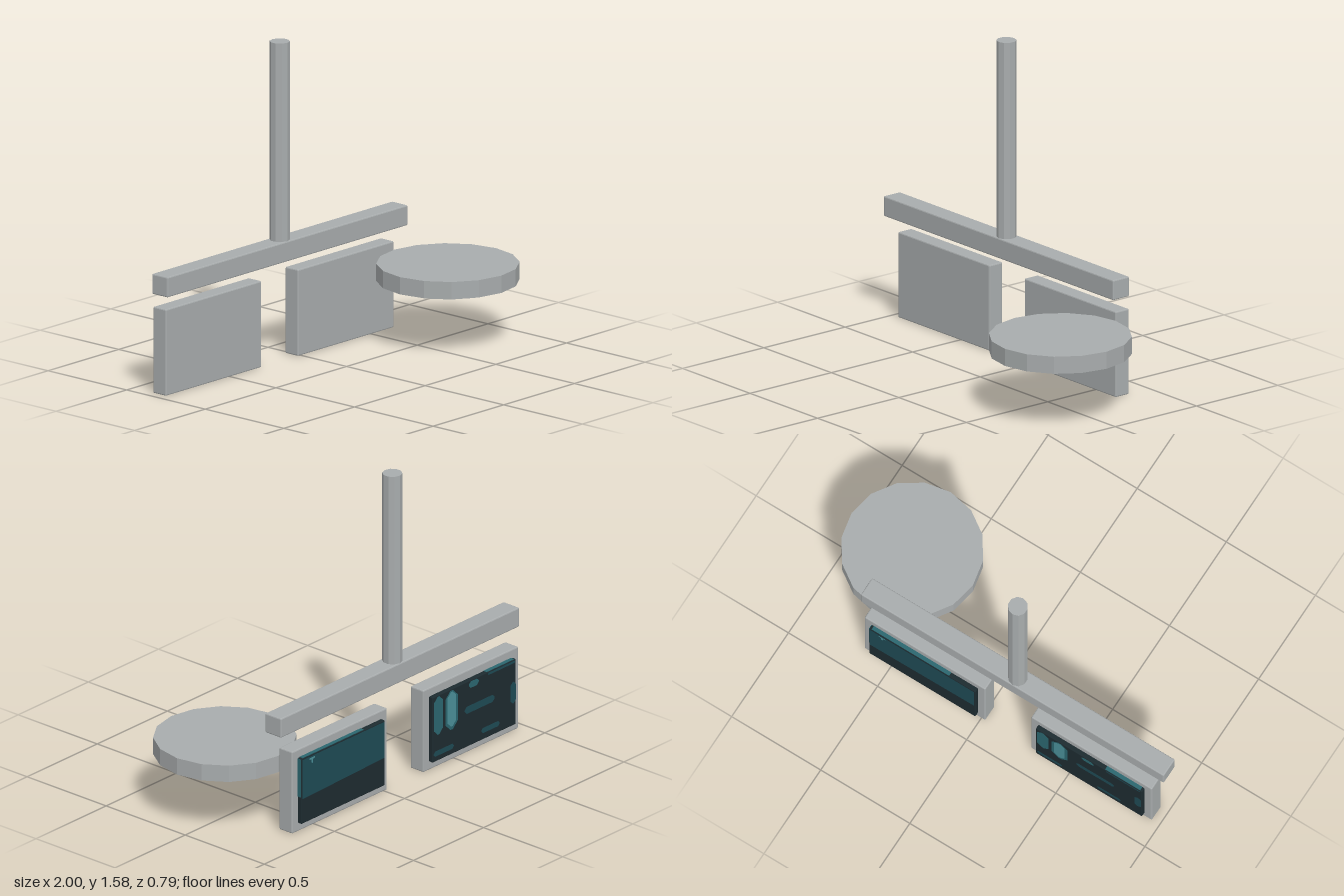
import * as THREE from 'three';
import { RoundedBoxGeometry } from 'three/addons/geometries/RoundedBoxGeometry.js';

const mat = (name, color, extra = {}) => {
  const m = new THREE.MeshStandardMaterial({ color, ...extra });
  m.name = name;
  return m;
};

export function createModel() {
  const grey = mat('grey metal', 0xa8acad, { flatShading: true });
  const dark = mat('dark glass', 0x1d2b30);
  const teal = mat('deep teal', 0x1e4a54);
  const mid = mat('mid teal', 0x2b6770);
  const bright = mat('bright teal', 0x4a8f98);

  const model = new THREE.Group();
  model.name = 'hangingMonitorArm';

  const add = (parent, name, geo, material, x = 0, y = 0, z = 0) => {
    const mesh = new THREE.Mesh(geo, material);
    mesh.name = name;
    mesh.position.set(x, y, z);
    parent.add(mesh);
    return mesh;
  };

  // Ceiling pole and cross beam
  add(model, 'pole', new THREE.CylinderGeometry(0.048, 0.048, 0.98, 10), grey, -0.152, 1.09, -0.288);
  add(model, 'beam', new RoundedBoxGeometry(1.7, 0.1, 0.1, 1, 0.006), grey, -0.152, 0.555, -0.288);

  // Round lamp head with a smaller lens disc below
  add(model, 'lampHead', new THREE.CylinderGeometry(0.34, 0.34, 0.085, 16), grey, 0.658, 0.3425, 0.053);
  add(model, 'lampLens', new THREE.CylinderGeometry(0.272, 0.272, 0.03, 16), grey, 0.658, 0.295, 0.053);

  const W = 0.596, H = 0.34, D = 0.026;

  // Screen coordinates: u runs left to right, v top to bottom, both 0 to 1
  const px = (u) => (u - 0.5) * W;
  const py = (v) => (0.5 - v) * H;

  const panel = (screen, name, points, material, layer = 1) => {
    const shape = new THREE.Shape(points.map(([u, v]) => new THREE.Vector2(px(u), py(v))));
    add(screen, name, new THREE.ShapeGeometry(shape), material, 0, 0, D / 2 + 0.0012 * layer);
  };

  // Bar with clipped corners
  const bar = (screen, name, u0, v0, u1, v1, material, layer = 1) => {
    const cv = Math.min((v1 - v0) * 0.4, (u1 - u0) * 0.4 * W / H), cu = cv * H / W;
    panel(screen, name, [
      [u0, v1 - cv], [u0 + cu, v1], [u1 - cu, v1], [u1, v1 - cv],
      [u1, v0 + cv], [u1 - cu, v0], [u0 + cu, v0], [u0, v0 + cv],
    ], material, layer);
  };

  // Thin colour on the top edge of the glass
  const topEdge = (screen, u0, u1) =>
    add(screen, 'screenTopEdge', new THREE.BoxGeometry((u1 - u0) * W, 0.003, D - 0.006), mid,
      px((u0 + u1) / 2), H / 2, 0);

  // Monitor: casing plus raised glass facing backwards
  const monitor = (name, x) => {
    const group = new THREE.Group();
    group.name = name;
    group.position.set(x, 0.215, -0.33);
    group.rotation.y = Math.PI;
    model.add(group);
    add(group, 'casing', new RoundedBoxGeometry(0.677, 0.425, 0.082, 1, 0.006), grey);
    const screen = new THREE.Group();
    screen.name = 'screen';
    screen.position.z = 0.051;
    group.add(screen);
    add(screen, 'glass', new RoundedBoxGeometry(W, H, D, 2, 0.006), dark);
    return screen;
  };

  // Left monitor: plain teal field above a dark band
  const left = monitor('leftMonitor', 0.317);
  panel(left, 'tealField', [[0.01, 0.62], [0.99, 0.57], [0.99, 0.02], [0.01, 0.02]], teal);
  bar(left, 'markTop', 0.09, 0.04, 0.16, 0.07, bright, 2);
  bar(left, 'markStem', 0.115, 0.06, 0.135, 0.13, bright, 2);
  add(left, 'screenSideEdge', new THREE.BoxGeometry(0.003, H * 0.58, D - 0.006), mid, -W / 2, H * 0.2, 0);
  topEdge(left, 0.02, 0.75);

  // Right monitor: scattered bars on dark glass
  const right = monitor('rightMonitor', -0.618);
  bar(right, 'pillarOuter', 0.015, 0.02, 0.12, 0.6, mid);
  bar(right, 'pillarInner', 0.15, 0.02, 0.3, 0.62, mid);
  bar(right, 'pillarHighlight', 0.175, 0.04, 0.275, 0.57, bright, 2);
  bar(right, 'topPatch', 0.43, 0.02, 0.55, 0.12, mid);
  bar(right, 'middleBar', 0.38, 0.38, 0.74, 0.49, teal);
  bar(right, 'lowerBarLeft', 0.01, 0.84, 0.25, 0.92, teal);
  bar(right, 'lowerBarRight', 0.58, 0.82, 0.8, 0.9, teal);
  bar(right, 'sidePatch', 0.93, 0.33, 0.993, 0.66, teal);
  bar(right, 'topStrip', 0.66, 0.015, 0.985, 0.05, teal);
  topEdge(right, 0.65, 0.98);

  return model;
}
